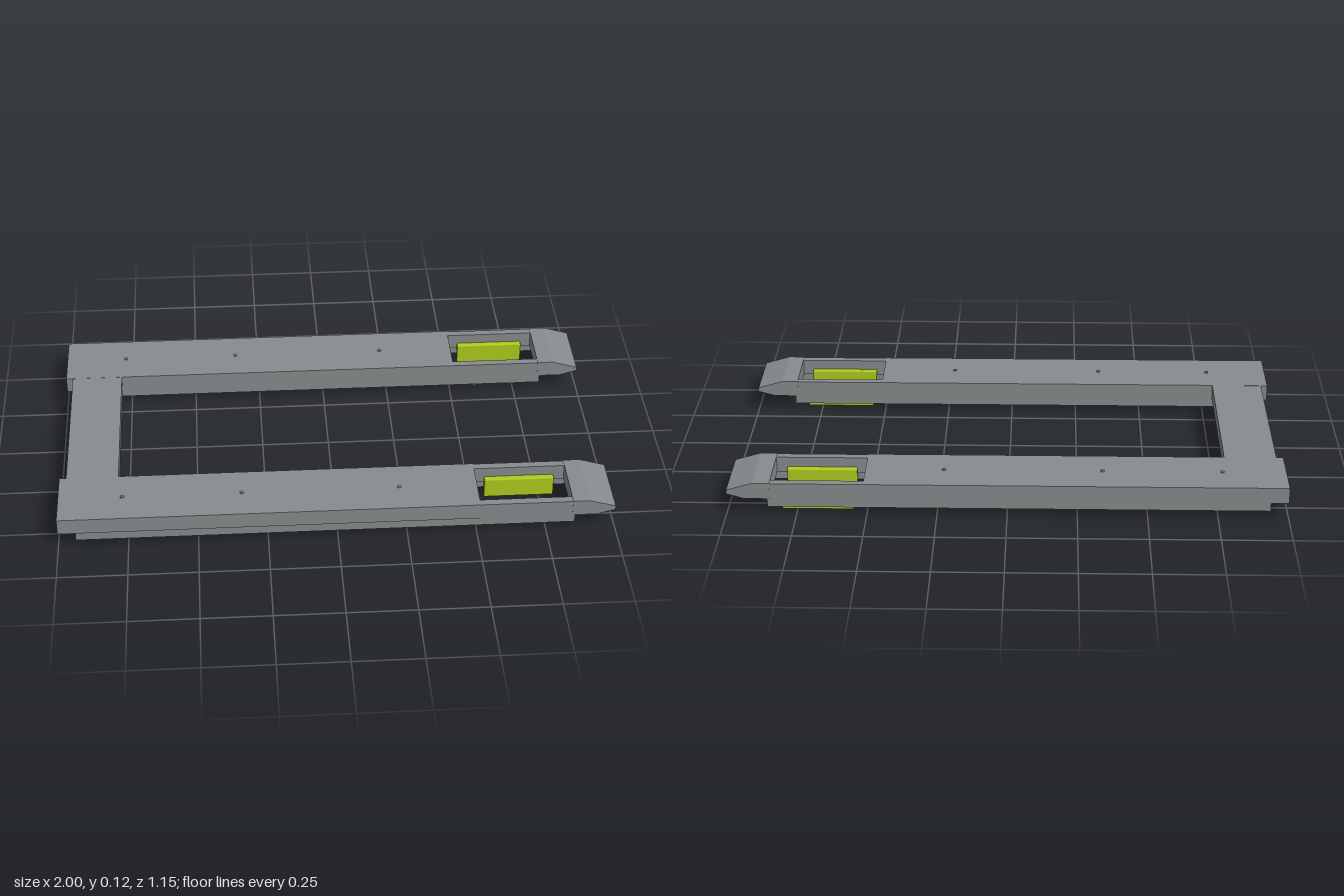
import * as THREE from 'three';
import { RoundedBoxGeometry } from 'three/addons/geometries/RoundedBoxGeometry.js';

const steel = new THREE.MeshStandardMaterial({ color: 0x868c8e });
steel.name = 'steel grey';
const lime = new THREE.MeshStandardMaterial({ color: 0xb0cc1e });
lime.name = 'lime green';

function add(parent, name, geometry, material) {
  const mesh = new THREE.Mesh(geometry, material);
  mesh.name = name;
  parent.add(mesh);
  return mesh;
}

// Box given by its limits on each axis
function box(parent, name, [x0, x1], [y0, y1], [z0, z1]) {
  const mesh = add(parent, name, new THREE.BoxGeometry(x1 - x0, y1 - y0, z1 - z0), steel);
  mesh.position.set((x0 + x1) / 2, (y0 + y1) / 2, (z0 + z1) / 2);
  return mesh;
}

const HALF = 0.125; // half the width of a fork arm

// One fork arm, centred on its own z = 0
function createArm() {
  const arm = new THREE.Group();
  box(arm, 'forkDeck', [-1, 0.512], [0.055, 0.115], [-HALF, HALF]);

  // Tapered nose
  const profile = new THREE.Shape([
    [0.845, 0.055], [0.935, 0.055], [1, 0.073], [1, 0.088], [0.905, 0.116], [0.845, 0.116],
  ].map(([x, y]) => new THREE.Vector2(x, y)));
  const nose = new THREE.ExtrudeGeometry(profile, { depth: HALF * 2, bevelEnabled: false });
  nose.translate(0, 0, -HALF);
  add(arm, 'forkNose', nose, steel);

  for (const s of [-1, 1]) {
    const span = (a, b) => [Math.min(s * a, s * b), Math.max(s * a, s * b)];
    // Long rail under the deck and the upright frame beside the opening
    box(arm, 'underRail', [-0.937, 0.855], [0.022, 0.056], span(0.105, 0.121));
    box(arm, 'wheelFrame', [0.51, 0.847], [0.055, 0.114], span(0.094, 0.1235));
    // Upright running block
    const block = add(arm, 'runner', new RoundedBoxGeometry(0.256, 0.078, 0.024, 2, 0.005), lime);
    block.position.set(0.678, 0.039, s * 0.083);
  }

  // Axle stubs beside the rail
  for (const x of [0.6, 0.755]) {
    const stub = add(arm, 'axleStub', new THREE.CylinderGeometry(0.011, 0.011, 0.012, 16), steel);
    stub.rotation.x = Math.PI / 2;
    stub.position.set(x, 0.019, 0.101);
  }

  // Small pins on the deck
  for (const x of [-0.77, -0.34, 0.23]) {
    const pin = add(arm, 'deckPin', new THREE.CylinderGeometry(0.007, 0.007, 0.008, 12), steel);
    pin.position.set(x, 0.116, 0);
  }
  return arm;
}

export function createModel() {
  const model = new THREE.Group();
  model.name = 'forkFrame';
  for (const [name, z] of [['rightArm', 0.449], ['leftArm', -0.449]]) {
    const arm = createArm();
    arm.name = name;
    arm.position.z = z;
    model.add(arm);
  }
  box(model, 'crossBeam', [-0.975, -0.785], [0.059, 0.1145], [-0.326, 0.326]);
  return model;
}
